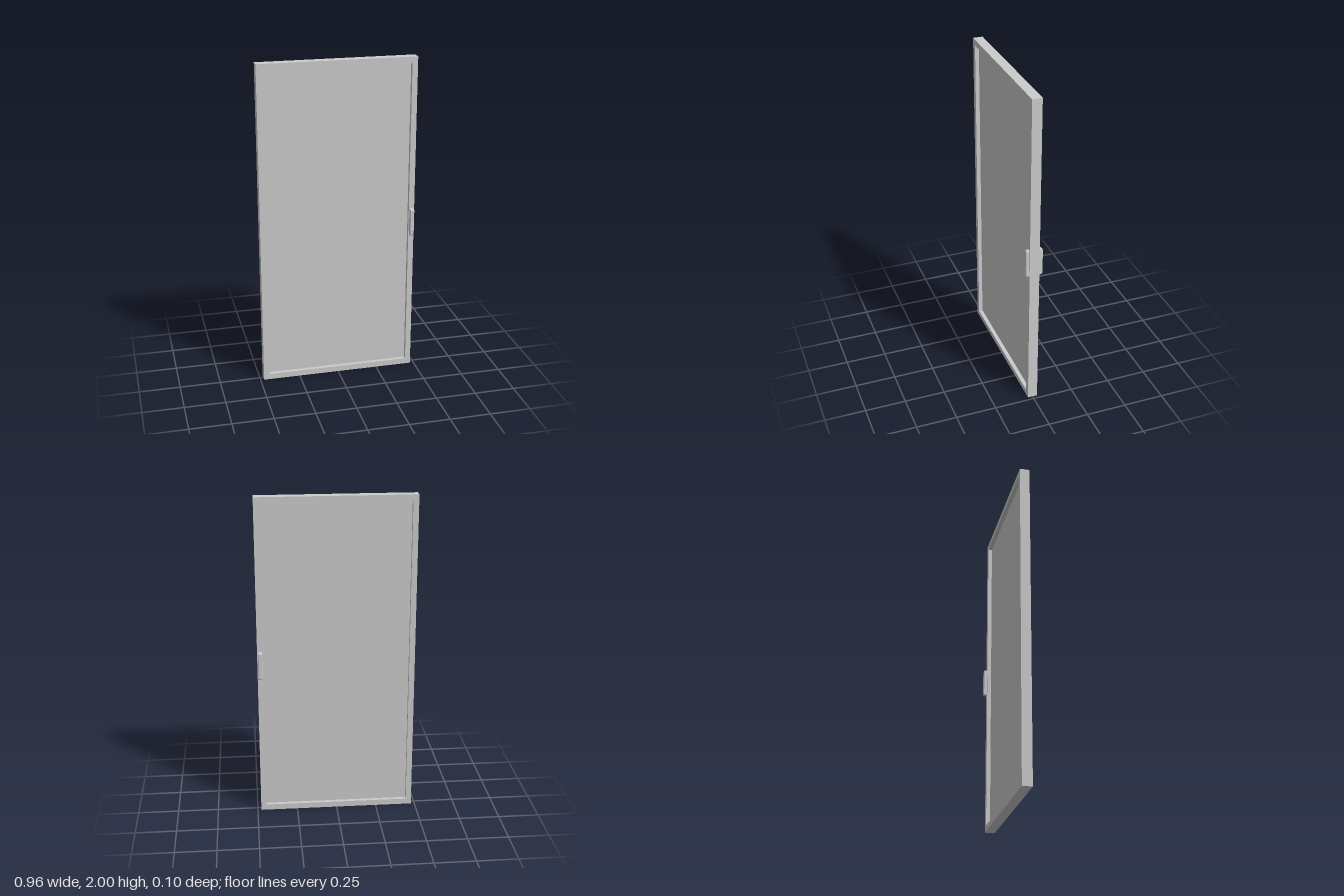
import * as THREE from 'three';

const material = new THREE.MeshStandardMaterial({ color: 0xcccccc, flatShading: true });

// Closed rectangle outline centred on (0, cy)
function rectangle(Type, halfW, halfH, cy) {
  return new Type([
    new THREE.Vector2(-halfW, cy - halfH),
    new THREE.Vector2(halfW, cy - halfH),
    new THREE.Vector2(halfW, cy + halfH),
    new THREE.Vector2(-halfW, cy + halfH),
  ]);
}

export function createModel() {
  const group = new THREE.Group();
  const add = (name, geometry) => {
    const mesh = new THREE.Mesh(geometry, material);
    mesh.name = name;
    group.add(mesh);
    return mesh;
  };

  const halfW = 0.478, halfT = 0.03, border = 0.034;

  // Outer frame with a rectangular opening
  const outline = rectangle(THREE.Shape, halfW, 1, 1);
  outline.holes.push(rectangle(THREE.Path, halfW - border, 1 - border - 0.002, 1));
  const frameGeometry = new THREE.ExtrudeGeometry(outline, { depth: halfT * 2, bevelEnabled: false });
  add('frame', frameGeometry.translate(0, 0, -halfT));

  // Thin panel recessed from both faces
  const panel = add('panel', new THREE.BoxGeometry((halfW - border) * 2, 1.928, 0.012));
  panel.position.y = 1;

  // Grips on both faces: a flat bar with rounded outer corners, slightly bevelled
  const bevel = 0.003, r = 0.01, h = 0.0875 - bevel, d = 0.022 - bevel;
  const profile = new THREE.Shape();
  profile.moveTo(0, -h);
  profile.lineTo(d - r, -h);
  profile.quadraticCurveTo(d, -h, d, -h + r);
  profile.lineTo(d, h - r);
  profile.quadraticCurveTo(d, h, d - r, h);
  profile.lineTo(0, h);
  const gripGeometry = new THREE.ExtrudeGeometry(profile, {
    depth: 0.019, bevelThickness: bevel, bevelSize: bevel, bevelSegments: 1, curveSegments: 4,
  });
  gripGeometry.translate(0, 0, -0.0095).rotateY(-Math.PI / 2);
  for (const [name, side] of [['frontHandle', 1], ['backHandle', -1]]) {
    const grip = add(name, gripGeometry);
    grip.position.set(0.461, 0.9775, side * halfT);
    if (side < 0) grip.rotation.y = Math.PI;
  }

  return group;
}
